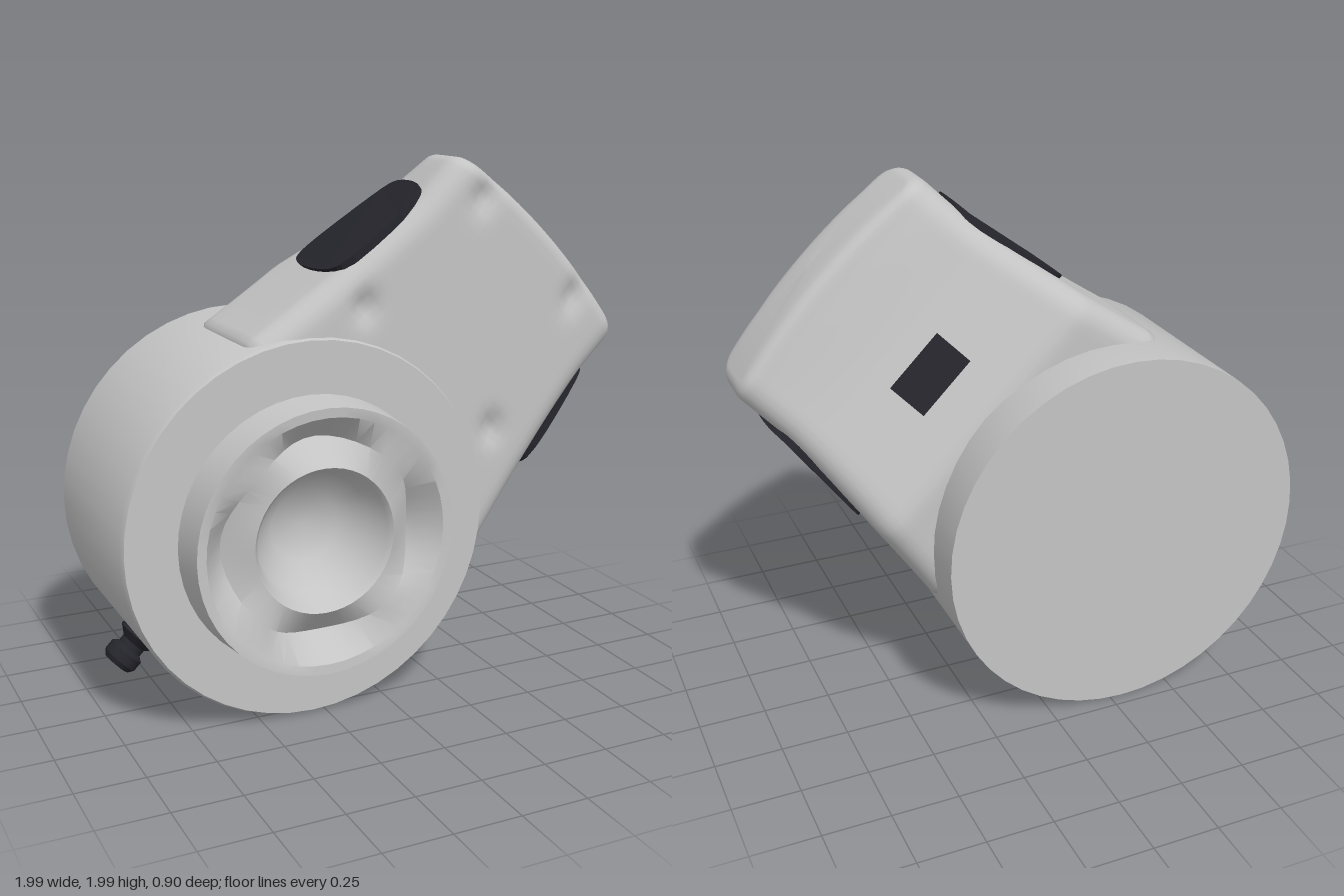
import * as THREE from 'three';
import { toCreasedNormals } from 'three/addons/utils/BufferGeometryUtils.js';

// Everything is built about the drum axis: x runs along the neck, y across it, z to the front.
const halfWidth = (u) => 0.495 + 0.13 * Math.pow(Math.max(0, (1.15 - u) / 0.8), 1.3);
const backZ = (u) => Math.max(-0.28, -0.28 + 0.42 * (u - 0.68));
const FRONT_Z = 0.287;

// Shallow dimples near the corners of the neck's front face
const dimples = [[1.28, 0.32], [1.28, -0.23], [0.71, 0.4], [0.73, -0.32]];

// Rounded rectangle across the neck, as [y, z] points
function section(w, z0, z1, r) {
  const pts = [];
  const corners = [[w - r, z1 - r, 0, 30], [-w + r, z1 - r, 1, 5], [-w + r, z0 + r, 2, 30], [w - r, z0 + r, 3, 5]];
  corners.forEach(([cy, cz, q, side], n) => {
    for (let i = 0; i <= 5; i++) {
      const a = (q + i / 5) * Math.PI / 2;
      pts.push([cy + r * Math.cos(a), cz + r * Math.sin(a)]);
    }
    // subdivide the straight run to the next corner
    const [ny, nz] = corners[(n + 1) % 4];
    const a = (q + 1) * Math.PI / 2;
    for (let i = 1; i < side; i++) {
      const t = i / side;
      pts.push([cy + (ny - cy) * t + r * Math.cos(a), cz + (nz - cz) * t + r * Math.sin(a)]);
    }
  });
  return pts;
}

function neckGeometry() {
  const rings = [];
  const addRing = (u, w, z0, z1, r) => rings.push(section(w, z0, z1, r).map(([y, z]) => {
    // bulged outer end
    const x = u + 0.05 * THREE.MathUtils.smoothstep(u, 1.1, 1.35) * (1 - (y / 0.5) ** 2);
    if (z > 0.25) {
      for (const [du, dv] of dimples) z -= 0.035 * Math.exp(-((u - du) ** 2 + (y - dv) ** 2) / 0.0022);
    }
    return [x, y, z];
  }));
  addRing(0.29, 0.57, -0.24, 0.24, 0.08);
  addRing(0.31, 0.61, -0.27, 0.275, 0.09);
  for (let i = 0; i <= 30; i++) {
    const u = 0.34 + i * 0.032;
    addRing(u, halfWidth(u), backZ(u), FRONT_Z, 0.09);
  }
  // rounded rim, then the closing end face
  const z0 = backZ(1.3);
  for (let i = 1; i <= 4; i++) {
    const a = i / 4 * Math.PI / 2;
    const inset = 0.05 * (1 - Math.cos(a));
    addRing(1.3 + 0.05 * Math.sin(a), 0.495 - inset, z0 + inset, FRONT_Z - inset, 0.09 - inset);
  }
  const mid = (z0 + FRONT_Z) / 2;
  const halfZ = (FRONT_Z - z0) / 2 - 0.05;
  for (const s of [0.75, 0.4, 0.001]) addRing(1.352, 0.445 * s, mid - halfZ * s, mid + halfZ * s, 0.04 * s);

  const n = rings[0].length;
  const index = [];
  for (let i = 0; i < rings.length - 1; i++) {
    for (let j = 0; j < n; j++) {
      const a = i * n + j, b = i * n + (j + 1) % n;
      index.push(a, b, a + n, b, b + n, a + n);
    }
  }
  const g = new THREE.BufferGeometry();
  g.setAttribute('position', new THREE.Float32BufferAttribute(rings.flat(2), 3));
  g.setIndex(index);
  g.computeVertexNormals();
  return g;
}

// Drum with a raised front ring, scalloped trough and central dish
function drumGeometry() {
  const profile = [[0, -0.45], [0.7, -0.45], [0.7, 0.28], [0.69, 0.3], [0.5, 0.3], [0.485, 0.45], [0.45, 0.447],
    [0.36, 0.375], [0.265, 0.42], [0.25, 0.4], [0.22, 0.31], [0.13, 0.23], [0, 0.2]];
  const g = new THREE.LatheGeometry(profile.map(([r, z]) => new THREE.Vector2(r, z)), 48);
  g.rotateX(Math.PI / 2);
  const p = g.attributes.position;
  for (let i = 0; i < p.count; i++) {
    const x = p.getX(i), y = p.getY(i);
    if (Math.abs(Math.hypot(x, y) - 0.36) < 0.01) {
      p.setZ(i, p.getZ(i) + 0.045 * Math.cos(4 * (Math.atan2(y, x) + Math.PI / 4)));
    }
  }
  return toCreasedNormals(g, 0.65);
}

// Dark pad wrapped onto one side of the neck
function sidePadGeometry(sign) {
  const outline = [[0.72, 0.16], [0.76, 0.235], [1.1, 0.235], [1.17, 0.2], [1.18, 0.02], [1.13, -0.04], [0.8, -0.12], [0.73, -0.09]];
  const curve = new THREE.CatmullRomCurve3(outline.map(([u, z]) => new THREE.Vector3(u, z, 0)), true);
  const shape = new THREE.Shape(curve.getPoints(40).slice(0, -1).map((v) => new THREE.Vector2(v.x, v.y)));
  const g = new THREE.ExtrudeGeometry(shape, { depth: 0.03, bevelEnabled: false });
  const p = g.attributes.position;
  for (let i = 0; i < p.count; i++) {
    const u = p.getX(i), z = p.getY(i), d = p.getZ(i);
    p.setXYZ(i, u, sign * halfWidth(u) - (d - 0.015), z);
  }
  g.computeVertexNormals();
  return g;
}

export function createModel() {
  const grey = new THREE.MeshStandardMaterial({ color: 0xc4c4c4 });
  grey.name = 'light grey';
  const dark = new THREE.MeshStandardMaterial({ color: 0x25252c });
  dark.name = 'charcoal';

  const model = new THREE.Group();
  model.name = 'model';
  const body = new THREE.Group();
  body.name = 'body';
  body.position.set(-0.3, 0.7, 0);
  model.add(body);

  const add = (name, geometry, material, parent) => {
    const mesh = new THREE.Mesh(geometry, material);
    mesh.name = name;
    parent.add(mesh);
    return mesh;
  };
  add('drum', drumGeometry(), grey, body);

  // Neck and fittings point up towards the model's left
  const tilted = new THREE.Group();
  tilted.name = 'neckAssembly';
  tilted.rotation.z = Math.PI / 4;
  body.add(tilted);
  add('neck', neckGeometry(), grey, tilted);
  add('upperPad', sidePadGeometry(1), dark, tilted);
  add('lowerPad', sidePadGeometry(-1), dark, tilted);

  // Small button on the sloping back
  const button = add('backButton', new THREE.BoxGeometry(0.15, 0.25, 0.03), dark, tilted);
  button.position.set(0.93, 0, backZ(0.93));
  button.rotation.y = -Math.atan(0.42);

  // Knob opposite the neck
  const knobProfile = [[0.06, 0.64], [0.085, 0.71], [0.05, 0.74], [0.05, 0.765], [0.07, 0.78], [0.07, 0.82], [0.055, 0.84], [0, 0.84]];
  const knob = new THREE.LatheGeometry(knobProfile.map(([r, y]) => new THREE.Vector2(r, y)), 12);
  knob.rotateZ(Math.PI / 2);
  add('knob', toCreasedNormals(knob, 0.6), dark, tilted).position.z = -0.2;

  return model;
}
